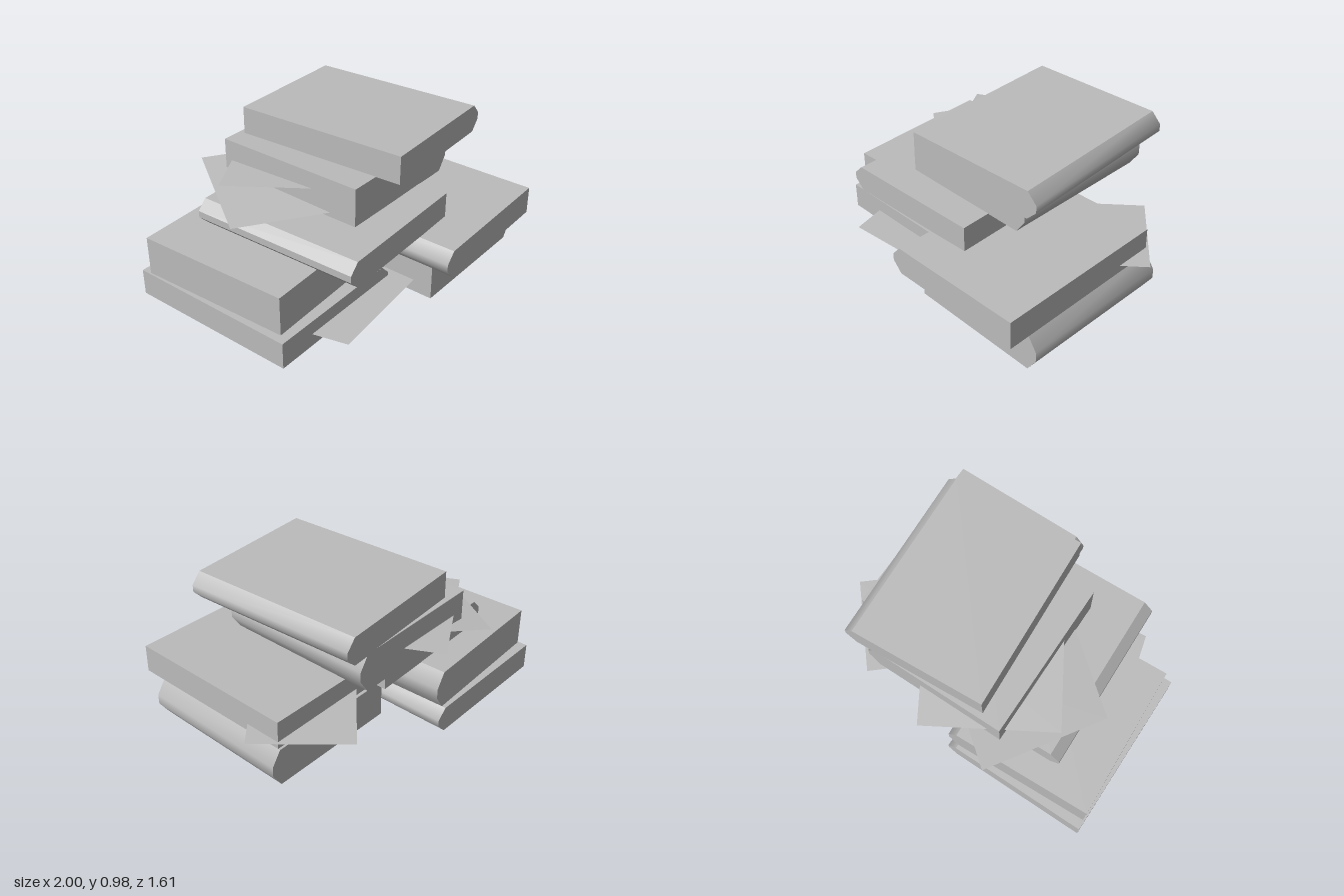
import * as THREE from 'three';
import { toCreasedNormals } from 'three/addons/utils/BufferGeometryUtils.js';

const grey = new THREE.MeshStandardMaterial({ color: 0xbbbbbb });
grey.name = 'grey';
const paperGrey = new THREE.MeshStandardMaterial({ color: 0xbbbbbb, side: THREE.DoubleSide });
paperGrey.name = 'paperGrey';

// Closed book: a slab whose spine (+x side) is bevelled into a rounded edge
function bookGeometry(w, h, d) {
  const x = w / 2, y = h / 2, bx = 0.06, by = h * 0.37;
  const outline = new THREE.Shape([
    [-x, -y], [x - bx, -y], [x, -y + by], [x, y - by], [x - bx, y], [-x, y],
  ].map(([px, py]) => new THREE.Vector2(px, py)));
  const geo = new THREE.ExtrudeGeometry(outline, { depth: d, bevelEnabled: false });
  geo.translate(0, 0, -d / 2);
  return toCreasedNormals(geo, 0.78);
}

// Loose sheet: a parallelogram from one corner and its two neighbours
function sheetGeometry(a, b, c) {
  const far = a.map((v, i) => b[i] + c[i] - v);
  const geo = new THREE.BufferGeometry();
  geo.setAttribute('position', new THREE.Float32BufferAttribute([...a, ...c, ...far, ...b], 3));
  geo.setIndex([0, 1, 2, 0, 2, 3]);
  geo.computeVertexNormals();
  return geo;
}

export function createModel() {
  const group = new THREE.Group();

  // size [w, h, d], centre, turn about y, tilt about z, spine side
  const books = [
    ['bottomLeftBook', [0.95, 0.165, 1.095], [-0.525, 0.083, -0.168], 0, 0, 1],
    ['secondLeftBook', [0.94, 0.243, 0.98], [-0.5, 0.288, -0.184], 0.04, 0, 1],
    ['bottomRightBook', [0.91, 0.243, 0.985], [0.465, 0.122, 0.165], -0.01, 0, 1],
    ['secondRightBook', [0.935, 0.176, 1.11], [0.397, 0.325, 0.245], 0, 0.016, -1],
    ['middleBook', [0.945, 0.162, 1.095], [-0.22, 0.488, 0.025], 0.025, 0, -1],
    ['upperBook', [0.905, 0.238, 0.98], [0.088, 0.687, -0.12], 0, -0.011, 1],
    ['topBook', [0.89, 0.172, 1.1], [0.245, 0.886, -0.05], 0.055, -0.016, 1],
  ];
  for (const [name, size, centre, turn, tilt, spine] of books) {
    const book = new THREE.Mesh(bookGeometry(...size), grey);
    book.name = name;
    book.position.set(...centre);
    book.rotation.set(0, turn, tilt + (spine < 0 ? Math.PI : 0));
    group.add(book);
  }

  // sheets of paper sticking out of the books
  const sheets = [
    ['lowerBackSheet', [-0.805, 0.575, -0.155], [-0.38, 0.625, -0.81], [-0.32, 0.604, 0.23]],
    ['upperBackSheet', [-0.64, 0.688, -0.4], [0.06, 0.675, -0.81], [-0.33, 0.711, 0.12]],
    ['rightSheet', [0.995, 0.29, -0.185], [0.6, 0.29, -0.64], [0.54, 0.29, 0.21]],
    ['frontLeftSheet', [-0.705, 0.08, 0.59], [0.1, 0.08, 0.52], [-0.85, 0.08, 0.01]],
  ];
  for (const [name, a, b, c] of sheets) {
    const sheet = new THREE.Mesh(sheetGeometry(a, b, c), paperGrey);
    sheet.name = name;
    group.add(sheet);
  }
  return group;
}
